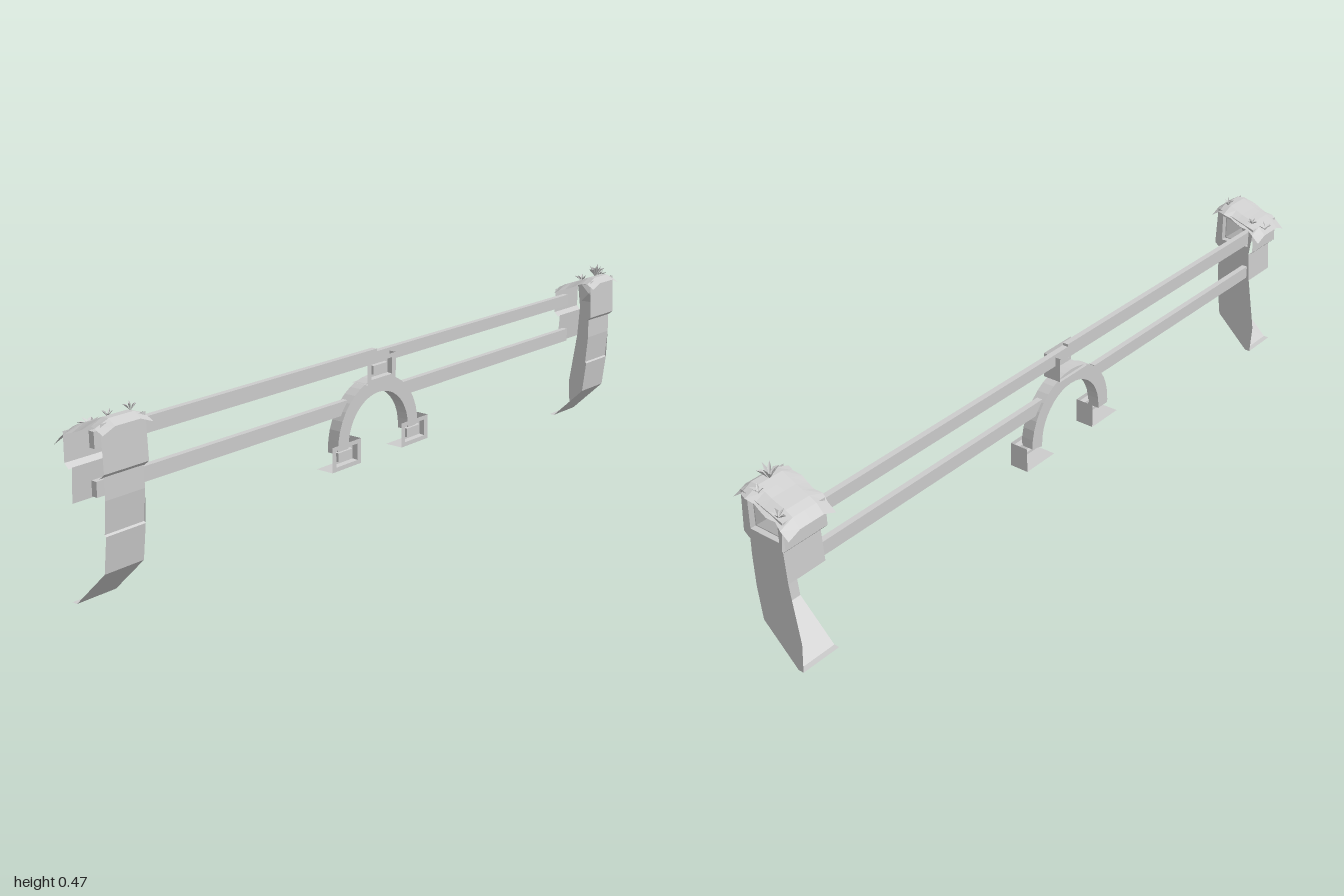
import * as THREE from 'three';

const mat = new THREE.MeshStandardMaterial({ color: 0xcccccc, flatShading: true, side: THREE.DoubleSide });

function add(parent, geo, name) {
  const m = new THREE.Mesh(geo, mat);
  m.name = name;
  parent.add(m);
  return m;
}

function fromTriangles(pos) {
  const g = new THREE.BufferGeometry();
  g.setAttribute('position', new THREE.Float32BufferAttribute(pos.flat(), 3));
  g.computeVertexNormals();
  return g;
}

// Wall swept along z from an (x, y) path, counter-clockwise as seen from +z
function strip(path, z0, z1) {
  const t = [];
  for (let i = 0; i + 1 < path.length; i++) {
    const [a, b] = [path[i], path[i + 1]];
    t.push([...a, z1], [...a, z0], [...b, z0], [...a, z1], [...b, z0], [...b, z1]);
  }
  return fromTriangles(t);
}

// Rings of equal length joined one after another
function loft(rings) {
  const t = [];
  for (let r = 0; r + 1 < rings.length; r++) {
    const [p, q] = [rings[r], rings[r + 1]];
    p.forEach((a, i) => {
      const j = (i + 1) % p.length;
      t.push(a, p[j], q[j], a, q[j], q[i]);
    });
  }
  return fromTriangles(t);
}

const shapeOf = (pts) => new THREE.Shape(pts.map(([x, y]) => new THREE.Vector2(x, y)));

// Small plant: bent pointed blades in a ring
function tuft(parent, name, x, y, z, count, length, rise) {
  const t = [];
  for (let i = 0; i < count; i++) {
    const a = (i / count) * Math.PI * 2 + x * 20;
    const len = length * (i % 2 ? 1 : 0.75);
    const at = (r, side, h) => [
      x + Math.cos(a) * r - Math.sin(a) * side,
      y + h,
      z + Math.sin(a) * r + Math.cos(a) * side,
    ];
    const root = at(0, 0, 0), tip = at(len, 0, rise * (i % 2 ? 0.7 : 1));
    const l = at(len * 0.5, len * 0.22, rise * 0.65), r = at(len * 0.5, -len * 0.22, rise * 0.65);
    t.push(root, l, tip, root, tip, r);
  }
  add(parent, fromTriangles(t), name);
}

function capHeight(x) {
  const p = [[-0.08, 0.368], [-0.05, 0.4], [0, 0.416], [0.05, 0.438], [0.07, 0.435], [0.088, 0.418]];
  let i = 0;
  while (i < p.length - 2 && x > p[i + 1][0]) i++;
  const k = (x - p[i][0]) / (p[i + 1][0] - p[i][0]);
  return p[i][1] + k * (p[i + 1][1] - p[i][1]);
}

// Leaning post, open towards +z and along the lower -x side
function post() {
  const g = new THREE.Group();
  const zb = -0.057, zf = 0.053;

  add(g, strip([[-0.065, 0], [-0.05, 0], [0.047, 0.093], [0.058, 0.18], [0.054, 0.184],
    [0.061, 0.26], [0.06, 0.312]], zb, zf), 'columnOuterWall');
  add(g, strip([[-0.04, 0.312], [-0.046, 0.23]], zb, zf), 'columnInnerWall');
  add(g, new THREE.ShapeGeometry(shapeOf([[-0.065, 0], [-0.05, 0], [0.047, 0.093], [0.058, 0.18],
    [0.061, 0.26], [0.06, 0.312], [-0.04, 0.312], [-0.046, 0.23], [-0.07, 0.08]])), 'columnBackWall').position.z = zb;

  // Head block with chamfered foot
  const hb = -0.061, hf = 0.062;
  add(g, strip([[0.058, 0.31], [0.073, 0.322], [0.068, 0.43]], hb, hf), 'headOuterWall');
  add(g, strip([[-0.052, 0.392], [-0.053, 0.322], [-0.041, 0.31]], hb, hf), 'headInnerWall');
  const head = shapeOf([[-0.041, 0.31], [0.058, 0.31], [0.073, 0.322], [0.068, 0.43], [-0.052, 0.392]]);
  const hole = [[-0.036, 0.336], [0.051, 0.336], [0.051, 0.41], [-0.036, 0.392]];
  head.holes.push(new THREE.Path(hole.map(([x, y]) => new THREE.Vector2(x, y))));
  add(g, new THREE.ShapeGeometry(head), 'headBackWall').position.z = hb;

  // Window sinking in to a pyramid point
  const ring = (k, z) => hole.map(([x, y]) => [0.008 + (x - 0.008) * k, 0.372 + (y - 0.372) * k, z]);
  add(g, loft([ring(1, hb), ring(0.92, hb + 0.012), ring(0.86, hb + 0.012), ring(0, hb + 0.035)]), 'headWindow');

  // Draped cap sheet
  const cap = new THREE.PlaneGeometry(1, 1, 8, 4);
  const p = cap.attributes.position;
  for (let i = 0; i < p.count; i++) {
    const u = p.getX(i), v = p.getY(i) * 2;
    const edge = Math.abs(v) > 0.9;
    const x = 0.004 + u * 0.158;
    const z = -v * 0.069 + (edge ? 0.004 * Math.sin(u * 19) : 0);
    p.setXYZ(i, x, capHeight(x) - (edge ? 0.014 : 0), z);
  }
  cap.computeVertexNormals();
  add(g, cap, 'cap');
  return g;
}

// Block showing a stepped recess towards +x, open at the back and top
function framedBlock(name, y, z, hh, hz) {
  const g = new THREE.Group();
  g.name = name;
  const xf = 0, xb = -0.052;
  const ring = (a, b, x) => [[x, -a, b], [x, -a, -b], [x, a, -b], [x, a, b]];
  const rings = [ring(hh, hz, xf), ring(hh * 0.66, hz * 0.74, xf), ring(hh * 0.6, hz * 0.7, xf - 0.014),
    ring(hh * 0.38, hz * 0.52, xf - 0.014), ring(hh * 0.34, hz * 0.48, xf - 0.005), ring(0, 0, xf - 0.005)];
  add(g, loft(rings), 'frame');
  const a = [xf, -hh, -hz], b = [xb, -hh, -hz];
  const c = [xb, hh, -hz], d = [xf, hh, -hz], e = [xf, -hh, hz], f = [xb, -hh, hz];
  add(g, fromTriangles([a, b, c, a, c, d]), 'side');
  add(g, fromTriangles([a, e, f, a, f, b]), 'underside');
  g.position.set(0, y, z);
  return g;
}

export function createModel() {
  const model = new THREE.Group();

  // Posts with their plants: [x, z, blades, length, rise]
  const posts = [
    ['frontPost', 0.934, [[-0.062, -0.018, 6, 0.028, 0.016], [-0.035, -0.045, 5, 0.018, 0.016], [0.052, -0.035, 5, 0.016, 0.02]]],
    ['backPost', -0.921, [[0.045, 0.0, 7, 0.026, 0.034], [0.032, -0.045, 6, 0.02, 0.014], [-0.04, -0.06, 5, 0.022, 0.018]]],
  ];
  for (const [name, z, plants] of posts) {
    const g = post();
    g.name = name;
    for (const [px, pz, n, len, rise] of plants) tuft(g, 'tuft', px, capHeight(px) - 0.003, pz, n, len, rise);
    g.position.z = z;
    model.add(g);
  }

  // Rails: [name, bottom, top, z start, z end]
  const rails = [
    ['upperRailFront', 0.345, 0.383, 0.01, 0.94], ['upperRailBack', 0.343, 0.376, -0.88, 0.01],
    ['lowerRailFront', 0.236, 0.272, 0.125, 0.94], ['lowerRailBack', 0.236, 0.272, -0.88, -0.095],
  ];
  for (const [name, y0, y1, z0, z1] of rails) {
    add(model, new THREE.BoxGeometry(0.016, y1 - y0, z1 - z0), name).position.set(-0.029, (y0 + y1) / 2, (z0 + z1) / 2);
  }

  // Horseshoe ornament
  const arch = new THREE.Shape();
  arch.moveTo(0.16, -0.01);
  arch.absarc(0, 0, 0.16, 0, Math.PI, false);
  arch.lineTo(-0.16, -0.01);
  arch.lineTo(-0.12, -0.01);
  arch.absarc(0, 0, 0.12, Math.PI, 0, true);
  arch.lineTo(0.12, -0.01);
  const archGeo = new THREE.ExtrudeGeometry(arch, { depth: 0.034, bevelEnabled: false, curveSegments: 10 });
  archGeo.rotateY(Math.PI / 2);
  add(model, archGeo, 'arch').position.set(-0.044, 0.152, 0.015);
  model.add(framedBlock('archTop', 0.335, 0.015, 0.033, 0.056));
  model.add(framedBlock('archFrontFoot', 0.137, 0.153, 0.033, 0.055));
  model.add(framedBlock('archBackFoot', 0.137, -0.121, 0.033, 0.055));

  return model;
}
